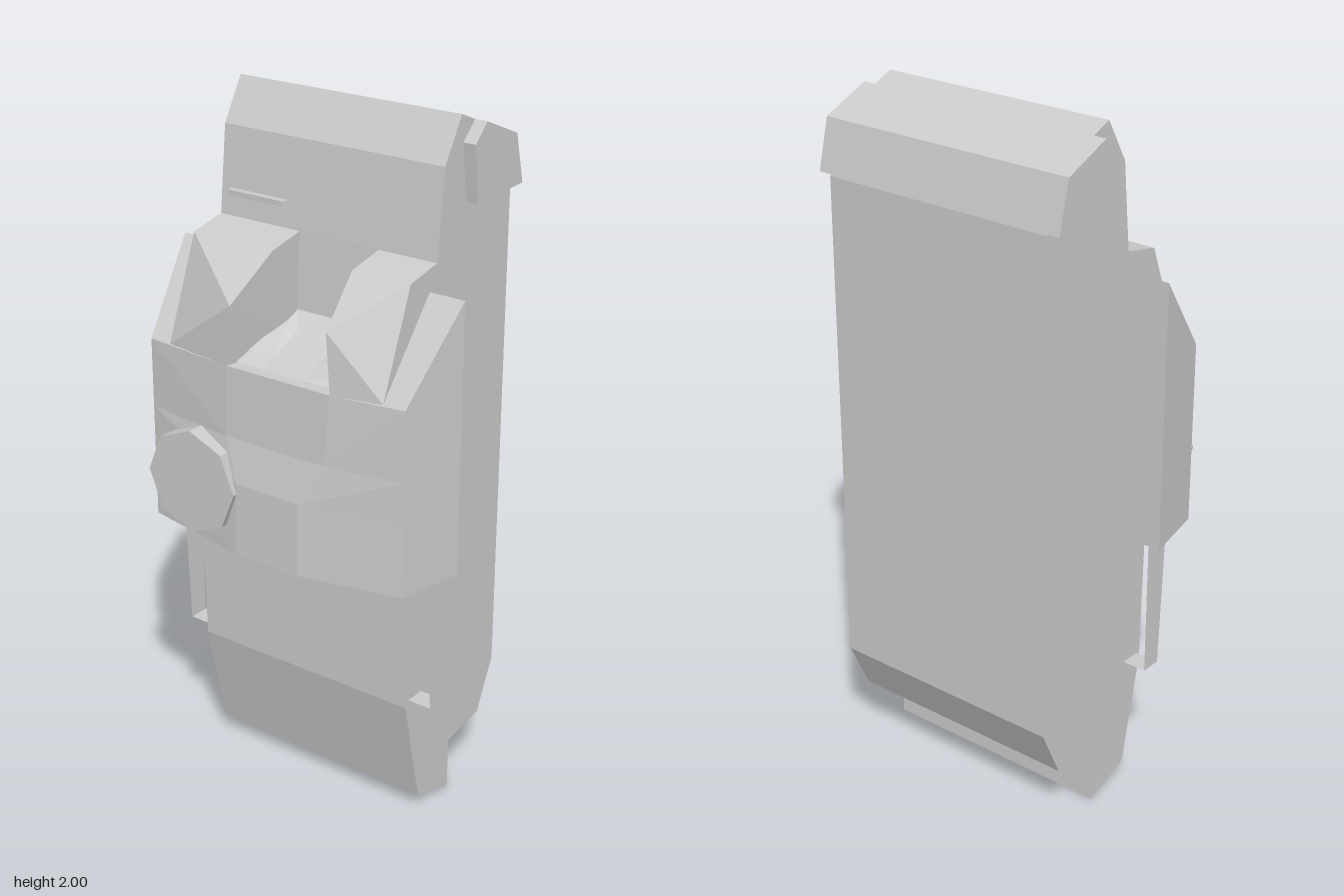
import * as THREE from 'three';
import { ConvexGeometry } from 'three/addons/geometries/ConvexGeometry.js';

const mat = new THREE.MeshStandardMaterial({ color: 0xcccccc, flatShading: true });
const thin = new THREE.MeshStandardMaterial({ color: 0xcccccc, flatShading: true, side: THREE.DoubleSide });

// Extrude a [z, y] side profile across x, centred
function sideProfile(points, halfWidth) {
  const shape = new THREE.Shape(points.map(([z, y]) => new THREE.Vector2(z, y)));
  const geo = new THREE.ExtrudeGeometry(shape, { depth: halfWidth * 2, bevelEnabled: false });
  return geo.rotateY(-Math.PI / 2).translate(halfWidth, 0, 0);
}

// Faceted solid around a few corner points
const hull = (points) => new ConvexGeometry(points.map((p) => new THREE.Vector3(...p)));

// Surface through rows of points (rows run bottom to top, points left to right)
function patch(rows) {
  const n = rows[0].length, index = [];
  for (let r = 0; r < rows.length - 1; r++) {
    for (let c = 0; c < n - 1; c++) {
      const a = r * n + c, b = a + 1, d = a + n, e = d + 1;
      if (c < n / 2 - 1) index.push(a, b, d, b, e, d);
      else index.push(a, b, e, a, e, d);
    }
  }
  const indexed = new THREE.BufferGeometry();
  indexed.setAttribute('position', new THREE.Float32BufferAttribute(rows.flat(2), 3));
  indexed.setIndex(index);
  const geo = indexed.toNonIndexed();
  geo.computeVertexNormals();
  return geo;
}

export function createModel() {
  const model = new THREE.Group();
  const add = (name, geo, material = mat) => {
    const mesh = new THREE.Mesh(geo, material);
    mesh.name = name;
    model.add(mesh);
    return mesh;
  };

  // Tall main body
  add('body', sideProfile([
    [-0.10, 0], [0.05, 0.05], [0.12, 0.37], [0.13, 0.79], [0.03, 1.42], [0.015, 1.635],
    [-0.01, 1.88], [-0.08, 2], [-0.285, 1.915], [-0.32, 1.77], [-0.32, 0.33],
    [-0.25, 0.18], [-0.10, 0.155],
  ], 0.358));

  // Wider cap across the top of the back
  add('topCap', sideProfile([
    [-0.11, 1.765], [-0.09, 1.925], [-0.14, 1.975], [-0.285, 1.915], [-0.32, 1.775],
  ], 0.395));

  // Bulged front cover, closed above and below
  const row = (y, xl, xr, zMid, zSide = 0.243) =>
    [[-0.425, y, zSide], [xl, y, zMid], [xr, y, zMid], [0.425, y, zSide]];
  add('frontCover', patch([
    row(0.79, -0.08, 0.13, 0.05, 0.05),
    row(0.79, -0.08, 0.13, 0.31),
    row(1.0, -0.08, 0.13, 0.306),
    row(1.12, -0.13, 0.20, 0.283),
    row(1.32, -0.13, 0.21, 0.275),
    row(1.32, -0.13, 0.21, 0.05, 0.05),
  ]), thin);

  for (const s of [1, -1]) {
    const side = s > 0 ? 'left' : 'right';

    // Side fin with a sloping top
    const fin = [];
    for (const y of [0.79, 1]) {
      const yb = y === 1 ? 1.565 : y, yf = y === 1 ? 1.32 : y;
      fin.push([s * 0.3, yb, 0.045], [s * 0.465, yb, 0.045], [s * 0.3, yf, 0.243], [s * 0.425, yf, 0.243]);
    }
    add(side + 'Fin', hull(fin));

    // Shoulder block beside the channel
    const [top, mid, low] = s > 0 ? [0.175, 0.20, 0.212] : [-0.085, -0.115, -0.13];
    const outer = s * 0.357;
    add(side + 'Shoulder', hull([
      [outer, 1.3, -0.02], [outer, 1.635, 0.01], [outer, 1.61, 0.13], [outer, 1.32, 0.243],
      [top, 1.3, -0.02], [top, 1.635, 0.01], [top, 1.61, 0.13],
      [mid, 1.49, 0.275], [low, 1.32, 0.275],
    ]));

    // Thin strap below the cover: upright plate and foot
    add(side + 'StrapPlate', patch([
      [[s * 0.43, 0.39, 0.045], [s * 0.43, 0.39, 0.107]],
      [[s * 0.43, 0.79, 0.045], [s * 0.43, 0.79, 0.125]],
    ]), thin);
    add(side + 'StrapFoot', patch([
      [[s * 0.355, 0.39, 0.045], [s * 0.43, 0.39, 0.045]],
      [[s * 0.355, 0.39, 0.107], [s * 0.43, 0.39, 0.107]],
    ]), thin);
  }

  // Sloping floor of the channel between the shoulders
  add('channelFloor', patch([
    [[-0.13, 1.322, 0.24], [-0.04, 1.322, 0.24], [0.10, 1.322, 0.24], [0.212, 1.322, 0.24]],
    [[-0.12, 1.35, 0.19], [-0.04, 1.34, 0.19], [0.10, 1.34, 0.19], [0.205, 1.35, 0.19]],
    [[-0.08, 1.40, 0.08], [-0.04, 1.385, 0.08], [0.10, 1.385, 0.08], [0.18, 1.40, 0.08]],
    [[-0.08, 1.42, 0.028], [-0.04, 1.42, 0.028], [0.10, 1.42, 0.028], [0.18, 1.42, 0.028]],
  ]), thin);

  // Eight-sided knob
  const knob = add('knob', new THREE.CylinderGeometry(0.151, 0.151, 0.08, 8).rotateX(Math.PI / 2));
  knob.position.set(-0.229, 0.97, 0.28);

  // Small ledge above the right shoulder
  const ledge = [];
  for (const y of [1.695, 1.71]) {
    ledge.push([-0.33, y, 0], [-0.125, y, 0], [-0.32, y, 0.028], [-0.135, y, 0.028]);
  }
  add('ledge', hull(ledge));

  return model;
}
